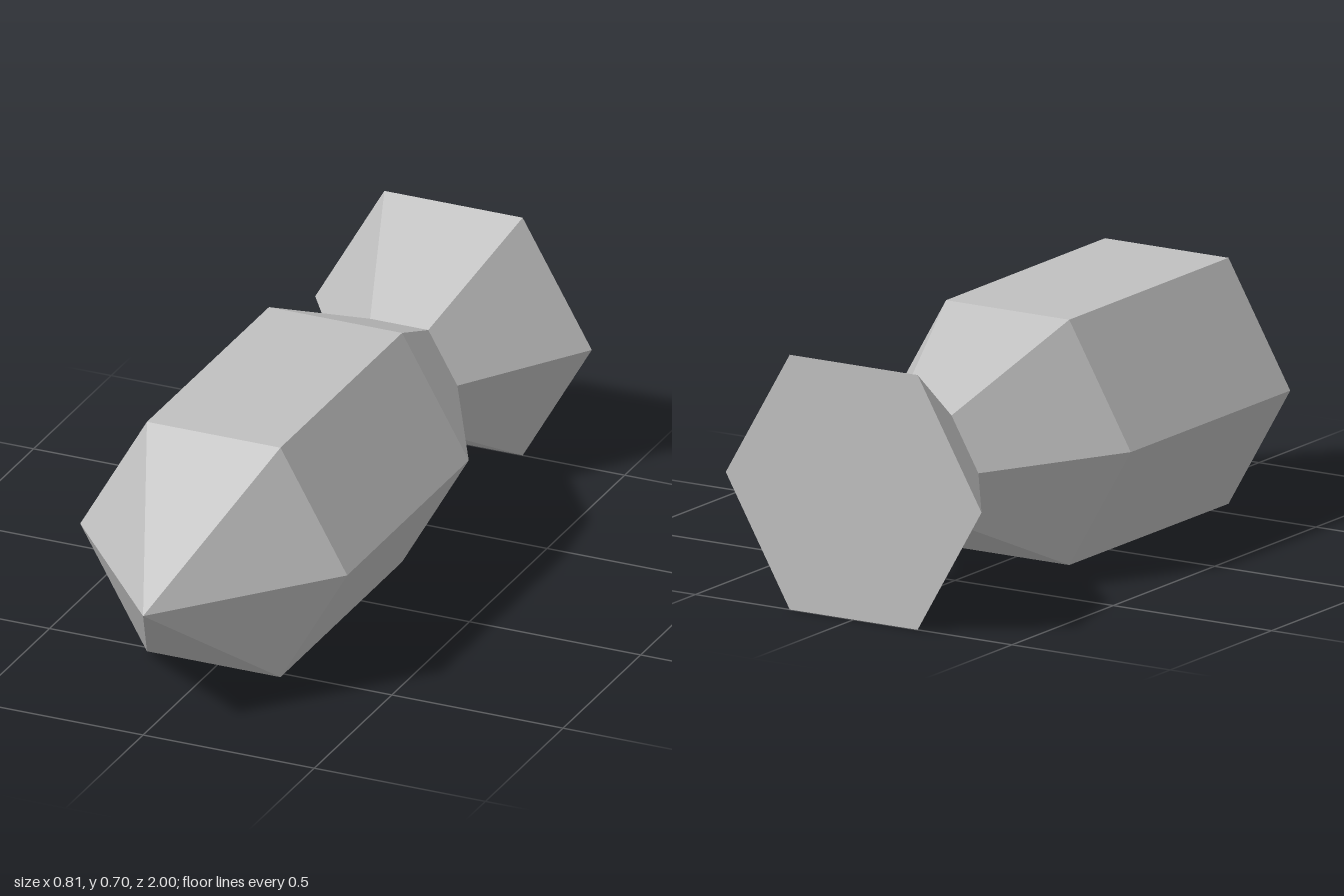
import * as THREE from 'three';

const AXIS_HEIGHT = 0.35;

export function createModel() {
  const group = new THREE.Group();
  group.name = 'finnedBomb';

  const grey = new THREE.MeshStandardMaterial({ color: 0xc0c0c0 });
  grey.name = 'grey';
  grey.flatShading = true;

  // Six-sided section along z; profile is [radius, z] from back to front
  function addSection(name, profile) {
    const points = profile.map(([r, z]) => new THREE.Vector2(r, z));
    const geometry = new THREE.LatheGeometry(points, 6, Math.PI / 2);
    geometry.rotateX(Math.PI / 2);
    const mesh = new THREE.Mesh(geometry, grey);
    mesh.name = name;
    mesh.position.y = AXIS_HEIGHT;
    group.add(mesh);
  }

  // Flared tail with a flat back
  addSection('tail', [[0, -1], [0.404, -1], [0.17, -0.65]]);
  // Taper from the neck up to the body
  addSection('rearTaper', [[0.17, -0.65], [0.389, -0.24]]);
  // Straight body
  addSection('body', [[0.389, -0.24], [0.39, 0.545]]);
  // Pointed nose
  addSection('nose', [[0.39, 0.545], [0, 1]]);

  return group;
}
